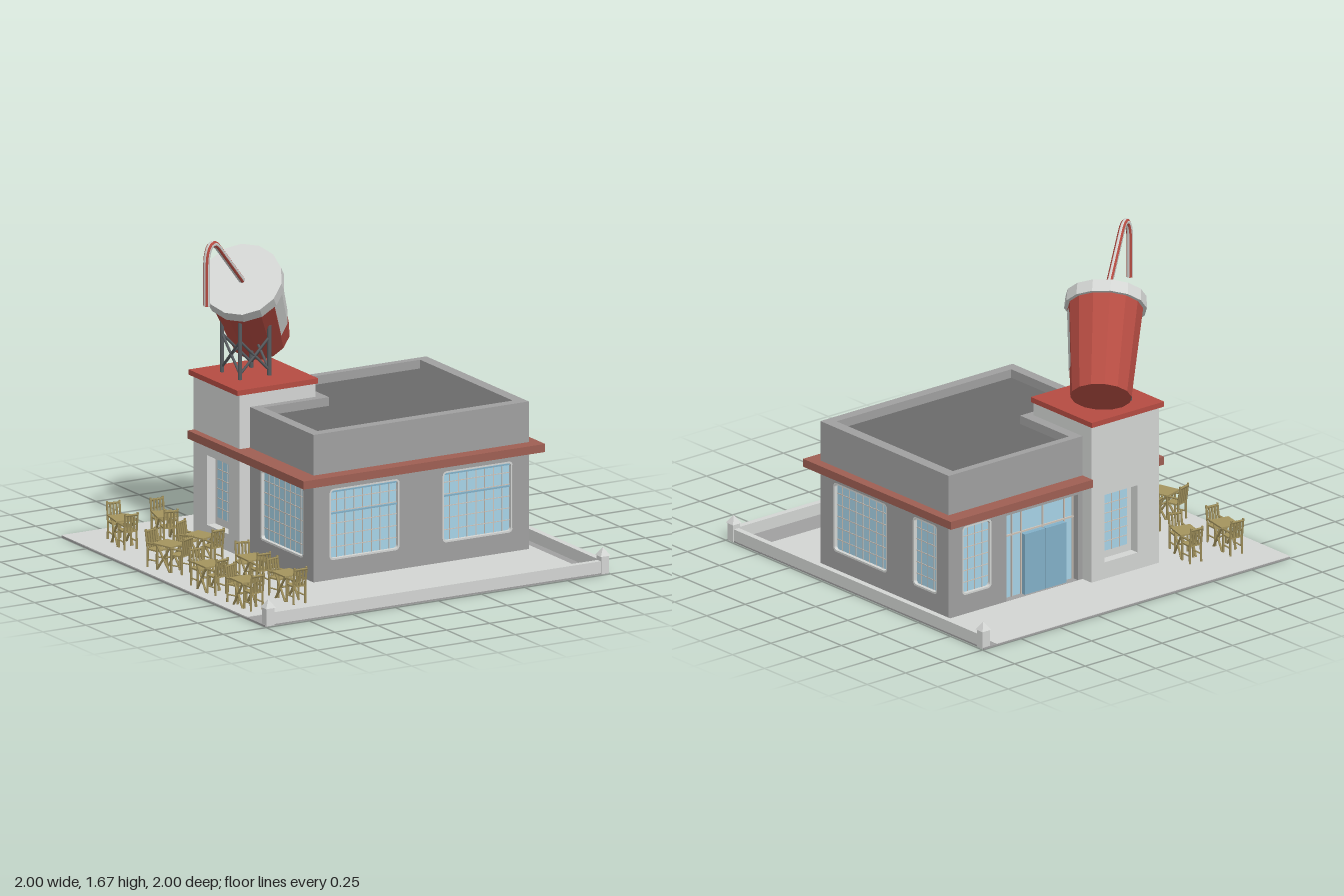
import * as THREE from 'three';

const mat = (name, color) => {
  const m = new THREE.MeshStandardMaterial({ color });
  m.name = name;
  return m;
};

export function createModel() {
  const root = new THREE.Group();
  root.name = 'drinkKiosk';
  const M = {
    red: mat('red', 0xb54c42), band: mat('dull red', 0x9f5f53), wall: mat('mid grey', 0xa0a0a0),
    pale: mat('pale grey', 0xd3d5d3), deck: mat('dark grey', 0x6a6a6a), metal: mat('steel', 0x585c60),
    glass: mat('glass blue', 0xa8d4e8), door: mat('door blue', 0x82b0c8), wood: mat('olive wood', 0xa4945e),
    muntin: mat('window bar', 0xccc2b8),
  };

  const add = (parent, name, geo, m, x = 0, y = 0, z = 0) => {
    const mesh = new THREE.Mesh(geo, m);
    mesh.name = name;
    mesh.position.set(x, y, z);
    parent.add(mesh);
    return mesh;
  };
  const group = (parent, name) => {
    const g = new THREE.Group();
    g.name = name;
    parent.add(g);
    return g;
  };
  // box given by its two opposite corners
  const box = (p, name, m, x0, x1, y0, y1, z0, z1) =>
    add(p, name, new THREE.BoxGeometry(x1 - x0, y1 - y0, z1 - z0), m, (x0 + x1) / 2, (y0 + y1) / 2, (z0 + z1) / 2);
  // square or round bar between two points
  const bar = (p, name, m, a, b, r, sides = 4) => {
    const A = new THREE.Vector3(...a), B = new THREE.Vector3(...b), d = B.clone().sub(A);
    const mesh = add(p, name, new THREE.CylinderGeometry(r, r, d.length(), sides, 1, false, Math.PI / 4), m);
    mesh.position.copy(A.add(B).multiplyScalar(0.5));
    mesh.quaternion.setFromUnitVectors(new THREE.Vector3(0, 1, 0), d.normalize());
    return mesh;
  };
  const poly = (pts) => pts.map(([x, y]) => new THREE.Vector2(x, y));
  const rect = (x0, y0, x1, y1) => poly([[x0, y0], [x1, y0], [x1, y1], [x0, y1]]);
  // rectangle with rounded corners
  const rounded = (x0, y0, x1, y1, r) => {
    const pts = [];
    [[x1 - r, y0 + r, -1], [x1 - r, y1 - r, 0], [x0 + r, y1 - r, 1], [x0 + r, y0 + r, 2]].forEach(([cx, cy, q]) => {
      for (let i = 0; i <= 4; i++) {
        const a = (q + i / 4) * Math.PI / 2;
        pts.push(new THREE.Vector2(cx + r * Math.cos(a), cy + r * Math.sin(a)));
      }
    });
    return pts;
  };
  const slab = (outer, holes, depth) => {
    const s = new THREE.Shape(outer);
    holes.forEach((h) => s.holes.push(new THREE.Path(h)));
    return new THREE.ExtrudeGeometry(s, { depth, bevelEnabled: false });
  };
  // plan outline in (x, z), extruded upward
  const plan = (p, name, m, outer, holes, y0, y1) => {
    const flip = (pts) => poly(pts.map(([x, z]) => [x, -z]));
    const mesh = add(p, name, slab(flip(outer), holes.map(flip), y1 - y0), m, 0, y0, 0);
    mesh.rotation.x = -Math.PI / 2;
    return mesh;
  };

  // ground and kerb walls
  const F = 0.012;
  const site = group(root, 'site');
  box(site, 'baseSlab', M.wall, -1, 0.99, 0, 0.009, -1, 0.99);
  box(site, 'paving', M.pale, -1, 0.91, 0.006, F, -1, 0.81);
  box(site, 'frontKerb', M.pale, -0.985, 0.99, 0.008, 0.07, 0.958, 0.99);
  box(site, 'rightKerb', M.pale, 0.958, 0.99, 0.008, 0.07, -0.985, 0.99);
  [[-0.972, 0.972], [0.972, 0.972], [0.972, -0.972]].forEach(([x, z]) => {
    box(site, 'cornerPost', M.pale, x - 0.023, x + 0.023, 0.004, 0.095, z - 0.023, z + 0.023);
    add(site, 'postCap', new THREE.ConeGeometry(0.04, 0.042, 4, 1, false, Math.PI / 4).toNonIndexed(), M.pale, x, 0.116, z)
      .geometry.computeVertexNormals();
  });

  // one outer wall; local x runs along it, local z points outward
  const building = group(root, 'building');
  const facade = (name, turn, dist, u0, u1, holes, m, thick) => {
    const g = group(building, name);
    g.rotation.y = turn;
    g.position.set(Math.sin(turn) * dist, 0, Math.cos(turn) * dist);
    add(g, 'wall', slab(rect(u0, F, u1, 0.565), holes, thick), m, 0, 0, -thick);
    return g;
  };
  const grid = (g, u0, y0, u1, y1, cols, rows, z) => {
    for (let i = 1; i < cols; i++) {
      const u = u0 + (u1 - u0) * i / cols;
      box(g, 'muntin', M.muntin, u - 0.002, u + 0.002, y0, y1, z, z + 0.003);
    }
    for (let j = 1; j < rows; j++) {
      const y = y0 + (y1 - y0) * j / rows;
      box(g, 'muntin', M.muntin, u0, u1, y - 0.002, y + 0.002, z, z + 0.003);
    }
  };
  const opening = ([u0, y0, u1, y1]) => rounded(u0, y0, u1, y1, 0.022);
  const win = (g, [u0, y0, u1, y1], cols, transom) => {
    const t = 0.009;
    add(g, 'windowFrame', slab(opening([u0, y0, u1, y1]), [rounded(u0 + t, y0 + t, u1 - t, y1 - t, 0.016)], 0.024),
      M.pale, 0, 0, -0.025);
    box(g, 'glass', M.glass, u0, u1, y0, y1, -0.03, -0.02);
    grid(g, u0, y0, u1, y1, cols, 6, -0.02);
    if (transom) [0.35, 0.463].forEach((y) => box(g, 'transom', M.door, u0 + 0.01, u1 - 0.01, y - 0.004, y + 0.004, -0.02, -0.01));
  };
  const niche = (g, [u0, y0, u1, y1]) => {
    box(g, 'nicheBack', M.pale, u0, u1, y0, y1, -0.07, -0.05);
    box(g, 'glass', M.glass, u0 + 0.03, u1 - 0.03, y0 + 0.04, y1 - 0.02, -0.05, -0.045);
    grid(g, u0 + 0.03, y0 + 0.04, u1 - 0.03, y1 - 0.02, 3, 6, -0.045);
  };

  // main block walls and windows
  const Y0 = 0.112, Y1 = 0.48, H = Math.PI / 2;
  const fw = [[-0.287, Y0, 0.12, Y1], [0.37, Y0, 0.777, Y1]];
  const front = facade('frontWall', 0, 0.42, -0.38, 0.87, fw.map(opening), M.wall, 0.04);
  fw.forEach((w) => win(front, w, 8, true));
  const rw = [[-0.32, Y0, 0.1, Y1], [0.3, Y0, 0.49, Y1]];
  const right = facade('leftWall', H, 0.87, -0.42, 0.58, rw.map(opening), M.wall, 0.04);
  rw.forEach((w, i) => win(right, w, i ? 4 : 8));
  const lw = [-0.1, Y0, 0.32, Y1];
  win(facade('rightWall', -H, 0.38, -0.2, 0.42, [opening(lw)], M.wall, 0.04), lw, 8);

  // back wall with glazed entrance
  const bw = [-0.78, Y0, -0.59, Y1];
  const back = facade('backWall', Math.PI, 0.58, -0.87, 0,
    [opening(bw), rect(-0.495, F + 0.001, -0.03, 0.47)], M.wall, 0.05);
  win(back, bw, 4);
  box(back, 'entranceGlass', M.glass, -0.495, -0.03, F, 0.47, -0.05, -0.04);
  [-0.49, -0.43, -0.37, -0.23, -0.09, -0.035].forEach((u) =>
    box(back, 'mullion', M.muntin, u - 0.003, u + 0.003, F, 0.47, -0.04, -0.032));
  [0.345, 0.464].forEach((y) => box(back, 'entranceTransom', M.muntin, -0.495, -0.03, y - 0.004, y + 0.004, -0.04, -0.032));
  [-0.365, -0.228].forEach((u) => box(back, 'door', M.door, u, u + 0.133, F, 0.335, -0.04, -0.012));

  // corner tower
  const tb = [0.085, 0.1, 0.3, 0.46], tl = [-0.52, 0.1, -0.31, 0.46];
  niche(facade('towerBack', Math.PI, 0.65, 0, 0.44, [rect(...tb)], M.pale, 0.08), tb);
  niche(facade('towerSide', -H, 0.44, -0.65, -0.2, [rect(...tl)], M.pale, 0.08), tl);
  box(building, 'towerTop', M.pale, -0.44, 0, 0.565, 0.845, -0.65, -0.2);
  box(building, 'towerRoof', M.red, -0.46, 0.01, 0.845, 0.872, -0.665, -0.19);

  // eaves band, parapet and roof deck
  plan(building, 'eavesBand', M.band,
    [[0.922, 0.492], [0.922, -0.66], [0, -0.66], [0, -0.64], [-0.48, -0.64], [-0.48, 0.492]], [], 0.523, 0.565);
  const inner = [[-0.325, 0.365], [0.81, 0.365], [0.81, -0.54], [0.055, -0.54], [0.055, -0.16], [-0.325, -0.16]];
  plan(building, 'parapet', M.wall,
    [[-0.38, 0.42], [0.87, 0.42], [0.87, -0.58], [-0.01, -0.58], [-0.01, -0.21], [-0.38, -0.21]], [inner], 0.565, 0.775);
  plan(building, 'roofDeck', M.deck, inner, [], 0.7, 0.73);

  // steel stand
  const stand = group(root, 'stand');
  const X = [-0.34, -0.17], Z = [-0.365, -0.54];
  X.forEach((x, i) => Z.forEach((z) => bar(stand, 'post', M.metal, [x, 0.87, z], [x, i ? 1.13 : 1.17, z], 0.011, 8)));
  X.forEach((x) => {
    bar(stand, 'brace', M.metal, [x, 0.9, Z[0]], [x, 1.07, Z[1]], 0.007, 6);
    bar(stand, 'brace', M.metal, [x, 1.07, Z[0]], [x, 0.9, Z[1]], 0.007, 6);
  });
  Z.forEach((z) => {
    bar(stand, 'brace', M.metal, [X[0], 0.9, z], [X[1], 1.07, z], 0.007, 6);
    bar(stand, 'brace', M.metal, [X[0], 1.07, z], [X[1], 0.9, z], 0.007, 6);
  });

  // tilted cup with lid and blank label
  const cup = group(root, 'cup');
  const axis = new THREE.Vector3(-0.275, 0.385, 0.29), L = axis.length(), N = 14;
  cup.position.set(-0.045, 1.0, -0.67);
  cup.quaternion.setFromUnitVectors(new THREE.Vector3(0, 1, 0), axis.clone().normalize());
  const side = new THREE.Vector3(0.69, -0.03, 0.73).applyQuaternion(cup.quaternion.clone().invert());
  const step = 2 * Math.PI / N, start = Math.atan2(side.x, side.z) - step;
  const flat = (g) => { const n = g.toNonIndexed(); n.computeVertexNormals(); return n; };
  const rad = (t) => 0.154 + 0.036 * t / (L - 0.06);
  add(cup, 'cupBody', flat(new THREE.CylinderGeometry(rad(L - 0.06), rad(0), L - 0.06, N, 1, false, start)), M.red, 0, (L - 0.06) / 2, 0);
  add(cup, 'lid', flat(new THREE.CylinderGeometry(0.204, 0.208, 0.065, N, 1, false, start)), M.pale, 0, L - 0.0325, 0);
  add(cup, 'label', flat(new THREE.CylinderGeometry(rad(0.46) + 0.004, rad(0.14) + 0.004, 0.32, 2, 1, true, start, 2 * step)),
    M.pale, 0, 0.3, 0);

  // bent straw with stripes along its length
  const path = new THREE.CurvePath();
  const V = (x, y, z) => new THREE.Vector3(x, y, z);
  path.add(new THREE.LineCurve3(V(-0.32, 1.38, -0.38), V(-0.56, 1.625, -0.212)));
  path.add(new THREE.CubicBezierCurve3(V(-0.56, 1.625, -0.212), V(-0.62, 1.685, -0.17), V(-0.655, 1.645, -0.164), V(-0.655, 1.55, -0.163)));
  path.add(new THREE.LineCurve3(V(-0.655, 1.55, -0.163), V(-0.655, 1.345, -0.163)));
  const tube = new THREE.TubeGeometry(path, 40, 0.017, 8);
  for (let k = 0; k < 320; k++) tube.addGroup(k * 6, 6, k % 2);
  add(root, 'straw', tube, [M.red, M.pale]);
  bar(root, 'strawEnd', M.red, [-0.655, 1.347, -0.163], [-0.655, 1.344, -0.163], 0.0165, 8);

  // chair facing local -z
  const chair = (p, z, turn) => {
    const c = group(p, 'chair');
    c.position.set(0, 0, z);
    c.rotation.y = turn;
    box(c, 'seat', M.wood, -0.036, 0.036, 0.088, 0.096, -0.04, 0.03);
    [-1, 1].forEach((s) => {
      bar(c, 'frontLeg', M.wood, [s * 0.034, 0, -0.037], [s * 0.034, 0.125, -0.037], 0.006);
      bar(c, 'backLeg', M.wood, [s * 0.034, 0, 0.03], [s * 0.034, 0.09, 0.028], 0.006);
      bar(c, 'backPost', M.wood, [s * 0.034, 0.09, 0.028], [s * 0.034, 0.192, 0.042], 0.006);
      bar(c, 'armrest', M.wood, [s * 0.034, 0.125, -0.042], [s * 0.034, 0.125, 0.033], 0.006);
      bar(c, 'stretcher', M.wood, [s * 0.034, 0.04, -0.037], [s * 0.034, 0.04, 0.03], 0.004);
    });
    [-0.017, 0, 0.017].forEach((x) => bar(c, 'slat', M.wood, [x, 0.095, 0.028], [x, 0.185, 0.041], 0.006));
    bar(c, 'topRail', M.wood, [-0.036, 0.18, 0.041], [0.036, 0.18, 0.041], 0.007);
  };
  // table sets: x, z, turn, twist of far chair, twist of near chair
  [[-0.825, -0.7, -0.19, 0.05, 0.1], [-0.605, -0.655, -0.28, 0.2, 0], [-0.875, -0.16, 0.28, 0, 0.1], [-0.655, -0.22, 0.32, 0.1, -0.25],
    [-0.9, 0.27, 0, 0, 0.1], [-0.65, 0.275, -0.04, -0.25, -0.05], [-0.897, 0.62, 0, 0.35, 0], [-0.652, 0.62, 0.03, 0.2, -0.03],
  ].forEach(([x, z, turn, far, near]) => {
    const set = group(root, 'tableSet');
    set.position.set(x, F, z);
    set.rotation.y = turn;
    box(set, 'tableTop', M.wood, -0.054, 0.054, 0.13, 0.138, -0.062, 0.062);
    [-0.04, 0.04].forEach((u) => [-1, 1].forEach((s) =>
      bar(set, 'tableLeg', M.wood, [u, 0, s * 0.045], [u, 0.13, -s * 0.045], 0.006)));
    bar(set, 'tableRail', M.wood, [-0.04, 0.065, 0], [0.04, 0.065, 0], 0.005);
    chair(set, 0.085, near);
    chair(set, -0.085, Math.PI + far);
  });
  return root;
}
